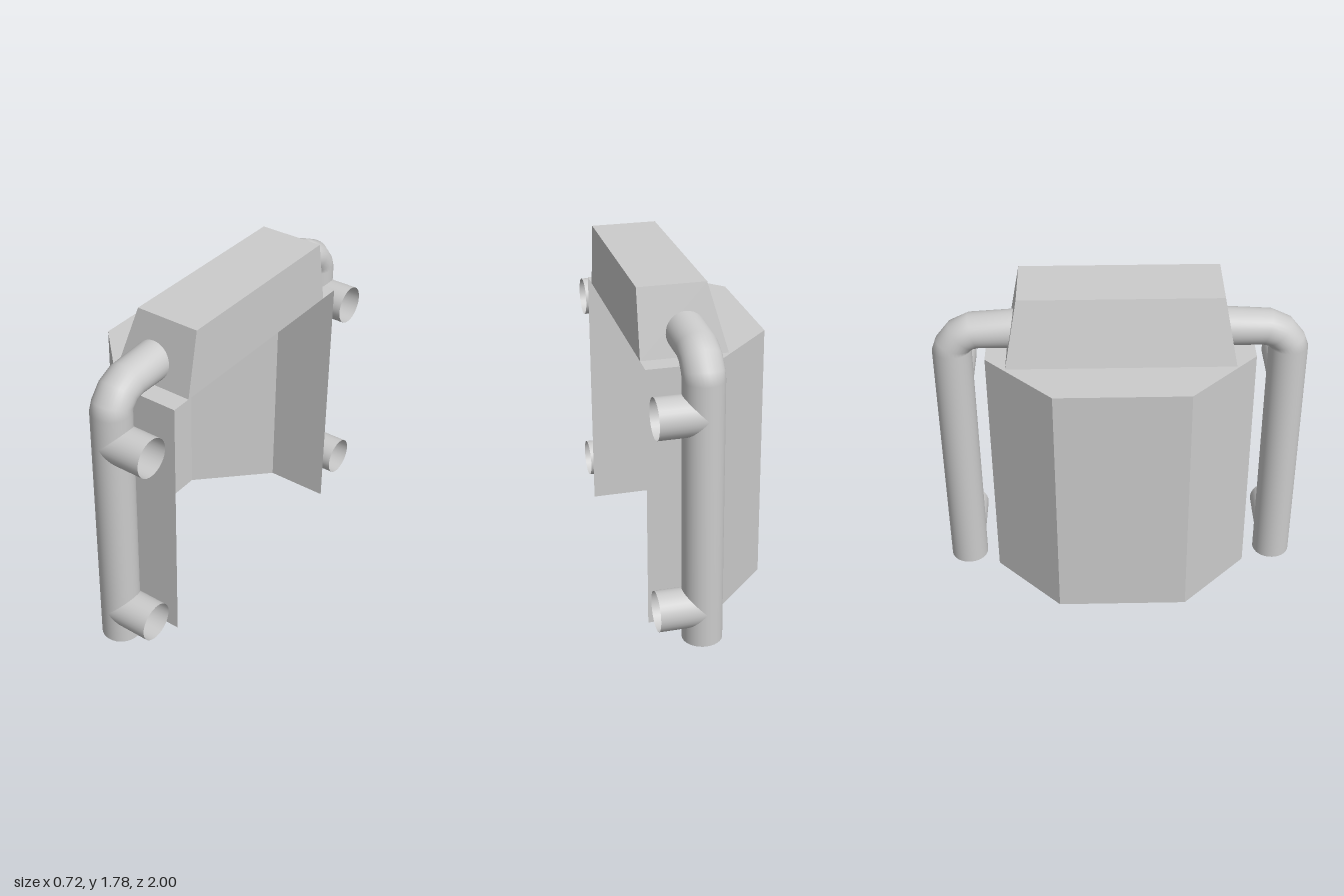
import * as THREE from 'three';

const material = new THREE.MeshStandardMaterial({ color: 0xcccccc, side: THREE.DoubleSide });

function add(parent, name, geometry) {
  const mesh = new THREE.Mesh(geometry, material);
  mesh.name = name;
  parent.add(mesh);
  return mesh;
}

// Flat walls between a lower and an upper outline of [x, z] points, with a lid on top
function housing(lower, upper, y0, y1, closed) {
  const pos = [];
  const n = lower.length;
  const at = (p, y) => pos.push(p[0], y, p[1]);
  for (let i = 0; i < (closed ? n : n - 1); i++) {
    const j = (i + 1) % n;
    at(lower[i], y0); at(lower[j], y0); at(upper[j], y1);
    at(lower[i], y0); at(upper[j], y1); at(upper[i], y1);
  }
  for (let i = 1; i < n - 1; i++) {
    at(upper[0], y1); at(upper[i], y1); at(upper[i + 1], y1);
  }
  const g = new THREE.BufferGeometry();
  g.setAttribute('position', new THREE.Float32BufferAttribute(pos, 3));
  g.computeVertexNormals();
  return g;
}

const PIPE_X = 0.115, PIPE_Z = 0.895, PIPE_R = 0.105;

// Pipe cross-sections: outer z, outer y, inner z, inner y
const SECTIONS = [
  [1, 0, 0.79, 0],
  [1, 1.43, 0.79, 1.43],
  [0.976, 1.495, 0.785, 1.438],
  [0.905, 1.585, 0.768, 1.447],
  [0.8, 1.636, 0.745, 1.45],
  [0.5, 1.657, 0.5, 1.445],
];

// Open bent pipe on the side s of z
function bentPipe(s) {
  const sides = 32, pos = [], index = [];
  SECTIONS.forEach(([oz, oy, iz, iy], i) => {
    for (let j = 0; j < sides; j++) {
      const a = (j / sides) * Math.PI * 2;
      const t = (1 + Math.cos(a)) / 2;
      pos.push(PIPE_X + s * PIPE_R * Math.sin(a), iy + (oy - iy) * t, s * (iz + (oz - iz) * t));
      if (i < SECTIONS.length - 1) {
        const k = (j + 1) % sides, r = i * sides, q = r + sides;
        index.push(r + j, r + k, q + j, r + k, q + k, q + j);
      }
    }
  });
  const g = new THREE.BufferGeometry();
  g.setAttribute('position', new THREE.Float32BufferAttribute(pos, 3));
  g.setIndex(index);
  g.computeVertexNormals();
  return g;
}

export function createModel() {
  const model = new THREE.Group();
  model.name = 'wallUnit';

  // Half-octagon shell, open underneath and along +x
  const shell = [[0.355, -0.715], [0, -0.715], [-0.36, -0.355], [-0.36, 0.355], [0, 0.715], [0.355, 0.715]];
  add(model, 'shell', housing(shell, shell, 0, 1.43, false));

  // Tapered box on top
  add(model, 'topBox', housing(
    [[0.355, -0.603], [-0.095, -0.603], [-0.095, 0.603], [0.355, 0.603]],
    [[0.355, -0.535], [0, -0.535], [0, 0.535], [0.355, 0.535]],
    1.43, 1.785, true));

  // A pipe on each side with two open wall stubs
  for (const s of [1, -1]) {
    const pipe = new THREE.Group();
    pipe.name = s > 0 ? 'frontPipe' : 'backPipe';
    add(pipe, 'bentPipe', bentPipe(s));
    for (const y of [0.183, 1.252]) {
      const length = 0.355 - PIPE_X;
      const g = new THREE.CylinderGeometry(PIPE_R, PIPE_R, length, 32, 1, true);
      g.rotateZ(Math.PI / 2);
      add(pipe, 'wallStub', g).position.set(PIPE_X + length / 2, y, s * PIPE_Z);
    }
    model.add(pipe);
  }
  return model;
}
